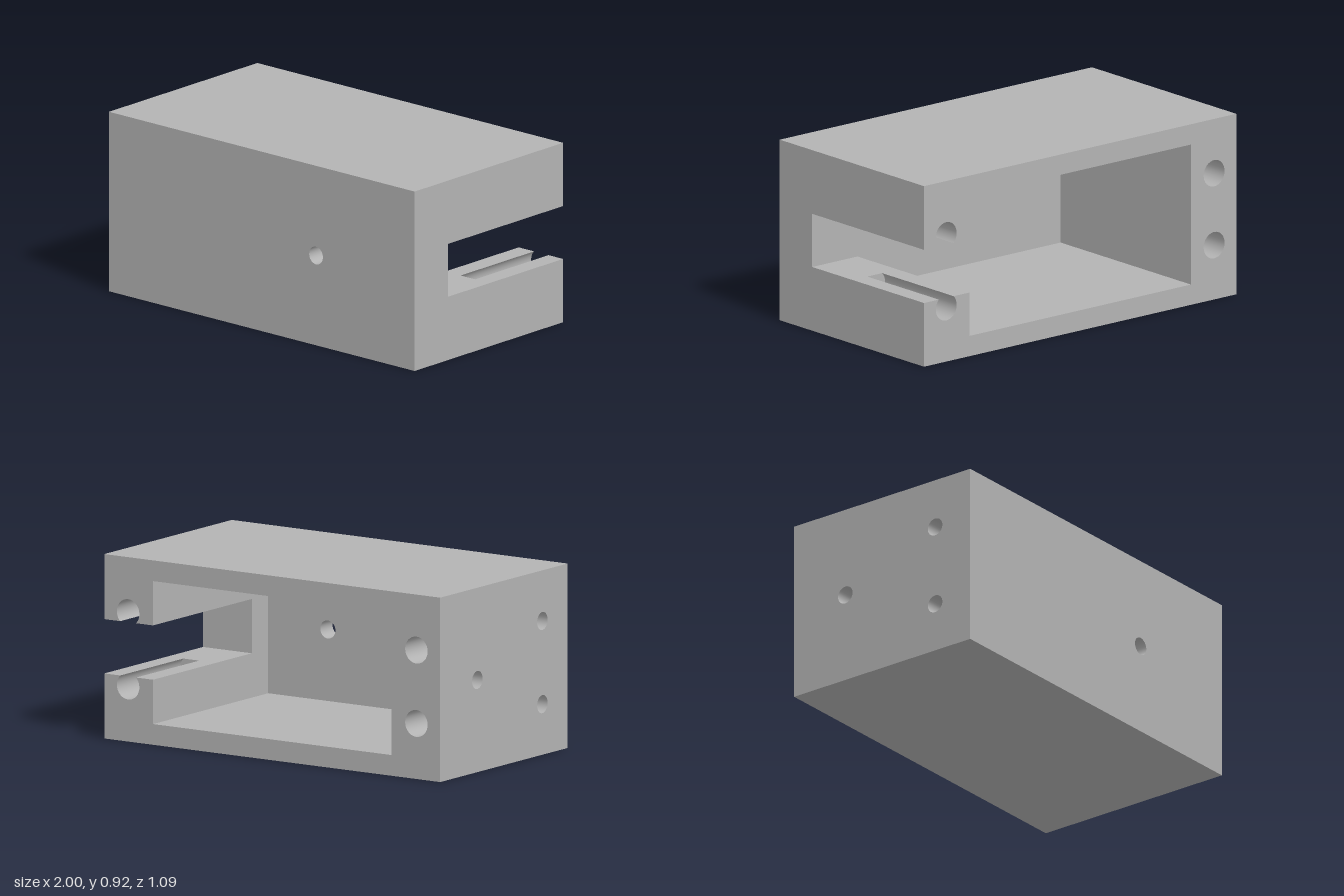
import * as THREE from 'three';

const H = 0.917, D = 0.545, MID = H / 2;        // outer height, half depth, mid height
const CX = 0.71, C0 = 0.103, C1 = H - C0, CZ = 0.44; // cavity half width, floor, ceiling, inner end
const LO = MID - 0.135, HI = MID + 0.135, SZ = 0.3;  // side slot floor, ceiling, end
const BX = 0.858, BY = MID - 0.1825, BR = 0.067, BZ = -0.005; // long rear bores
const PR = 0.045, PD = 0.2;                     // small holes: radius, blind depth
const A = Math.asin((LO - BY) / BR), W = BR * Math.cos(A); // where a bore breaks into the slot

// points along an arc
const arc = (x, y, r, from, to, n = 32) => Array.from({ length: n + 1 }, (_, i) => {
  const t = from + (to - from) * i / n;
  return [x + r * Math.cos(t), y + r * Math.sin(t)];
});
const circle = (x, y, r) => arc(x, y, r, 0, Math.PI * 2).slice(0, -1);
const rect = (a, b, c, d) => [[a, c], [b, c], [b, d], [a, d]];
const flip = pts => pts.map(([x, y]) => [x, H - y]).reverse();

// in-plane axes for each facing; points are (z,y), (x,z) or (x,y)
const AXES = {
  '+x': [[0, 0, -1], [0, 1, 0], -1, 1], '-x': [[0, 0, 1], [0, 1, 0], 1, 1],
  '+y': [[1, 0, 0], [0, 0, -1], 1, -1], '-y': [[1, 0, 0], [0, 0, 1], 1, 1],
  '+z': [[1, 0, 0], [0, 1, 0], 1, 1], '-z': [[-1, 0, 0], [0, 1, 0], -1, 1],
};

export function createModel() {
  const model = new THREE.Group();
  model.name = 'housing';
  const grey = new THREE.MeshStandardMaterial({ color: 0xb3b3b3, side: THREE.DoubleSide });
  grey.name = 'grey';

  const add = (name, geometry) => {
    const mesh = new THREE.Mesh(geometry, grey);
    mesh.name = name;
    model.add(mesh);
    return mesh;
  };

  // flat face pointing along dir, at the given position on that axis
  const face = (name, dir, at, pts, holes = []) => {
    const [u, v, su, sv] = AXES[dir];
    const to2 = list => list.map(([a, b]) => new THREE.Vector2(a * su, b * sv));
    const shape = new THREE.Shape(to2(pts));
    shape.holes = holes.map(h => new THREE.Path(to2(h)));
    const U = new THREE.Vector3(...u), V = new THREE.Vector3(...v);
    const N = new THREE.Vector3().crossVectors(U, V);
    const m = new THREE.Matrix4().makeBasis(U, V, N);
    const offset = { x: 0, y: 0, z: 0 };
    offset[dir[1]] = at;
    m.setPosition(offset.x, offset.y, offset.z);
    add(name, new THREE.ShapeGeometry(shape).applyMatrix4(m));
  };

  // round wall of a bore along z, or part of one
  const boreZ = (name, x, y, r, z0, z1, start = 0, length = Math.PI * 2) => {
    const g = new THREE.CylinderGeometry(r, r, z1 - z0, 32, 1, true, start, length);
    add(name, g.rotateX(Math.PI / 2)).position.set(x, y, (z0 + z1) / 2);
  };

  // outer shell
  const frontHole = circle(0.355, MID, PR);
  const sideHoles = [[-0.228, MID], [0.328, MID - 0.207], [0.328, MID + 0.207]];
  const groove = arc(BX, BY, BR, A, -Math.PI - A);
  const slotEdge = [[-D, LO], [SZ, LO], [SZ, HI], [-D, HI]];
  face('top', '+y', H, rect(-1, 1, -D, D));
  face('bottom', '-y', 0, rect(-1, 1, -D, D));
  face('front', '+z', D, rect(-1, 1, 0, H), [frontHole]);
  face('rightSide', '-x', -1, rect(-D, D, 0, H), sideHoles.map(([z, y]) => circle(z, y, PR)));
  face('leftSide', '+x', 1, [[D, 0], [-D, 0], ...slotEdge, [-D, H], [D, H]]);
  face('backRim', '-z', -D, [
    [1, 0], [1, LO], ...groove, [CX, LO], [CX, C0], [-CX, C0], [-CX, C1], [CX, C1], [CX, HI],
    ...flip(groove), [1, HI], [1, H], [-1, H], [-1, 0],
  ], [circle(-BX, BY, BR), circle(-BX, H - BY, BR)]);

  // cavity
  face('cavityFloor', '+y', C0, rect(-CX, CX, -D, CZ));
  face('cavityCeiling', '-y', C1, rect(-CX, CX, -D, CZ));
  face('cavityRightWall', '+x', -CX, rect(-D, CZ, C0, C1));
  face('cavityLeftWall', '-x', CX, [[CZ, C0], [-D, C0], ...slotEdge, [-D, C1], [CZ, C1]]);
  face('cavityEnd', '-z', CZ, rect(-CX, CX, C0, C1), [frontHole]);
  boreZ('frontHole', 0.355, MID, PR, CZ, D);

  // slot through the left wall, with floor and ceiling cut by the grooves
  const ledge = [[CX, -D], [BX - W, -D], [BX - W, BZ], [BX + W, BZ], [BX + W, -D], [1, -D], [1, SZ], [CX, SZ]];
  face('slotFloor', '+y', LO, ledge);
  face('slotCeiling', '-y', HI, ledge);
  face('slotEnd', '-z', SZ, rect(CX, 1, LO, HI));

  // long rear bores: open grooves on the left, full bores on the right
  const sweep = Math.PI + 2 * A;
  boreZ('lowerGroove', BX, BY, BR, -D, BZ, -sweep / 2, sweep);
  boreZ('upperGroove', BX, H - BY, BR, -D, BZ, Math.PI - sweep / 2, sweep);
  face('lowerGrooveEnd', '-z', BZ, groove);
  face('upperGrooveEnd', '-z', BZ, flip(groove));
  for (const y of [BY, H - BY]) {
    boreZ('rearBore', -BX, y, BR, -D, BZ);
    face('rearBoreEnd', '-z', BZ, circle(-BX, y, BR));
  }

  // blind holes in the right side
  for (const [z, y] of sideHoles) {
    const g = new THREE.CylinderGeometry(PR, PR, PD, 32, 1, true).rotateZ(Math.PI / 2);
    add('sideHole', g).position.set(-1 + PD / 2, y, z);
    face('sideHoleEnd', '-x', -1 + PD, circle(z, y, PR));
  }
  return model;
}
